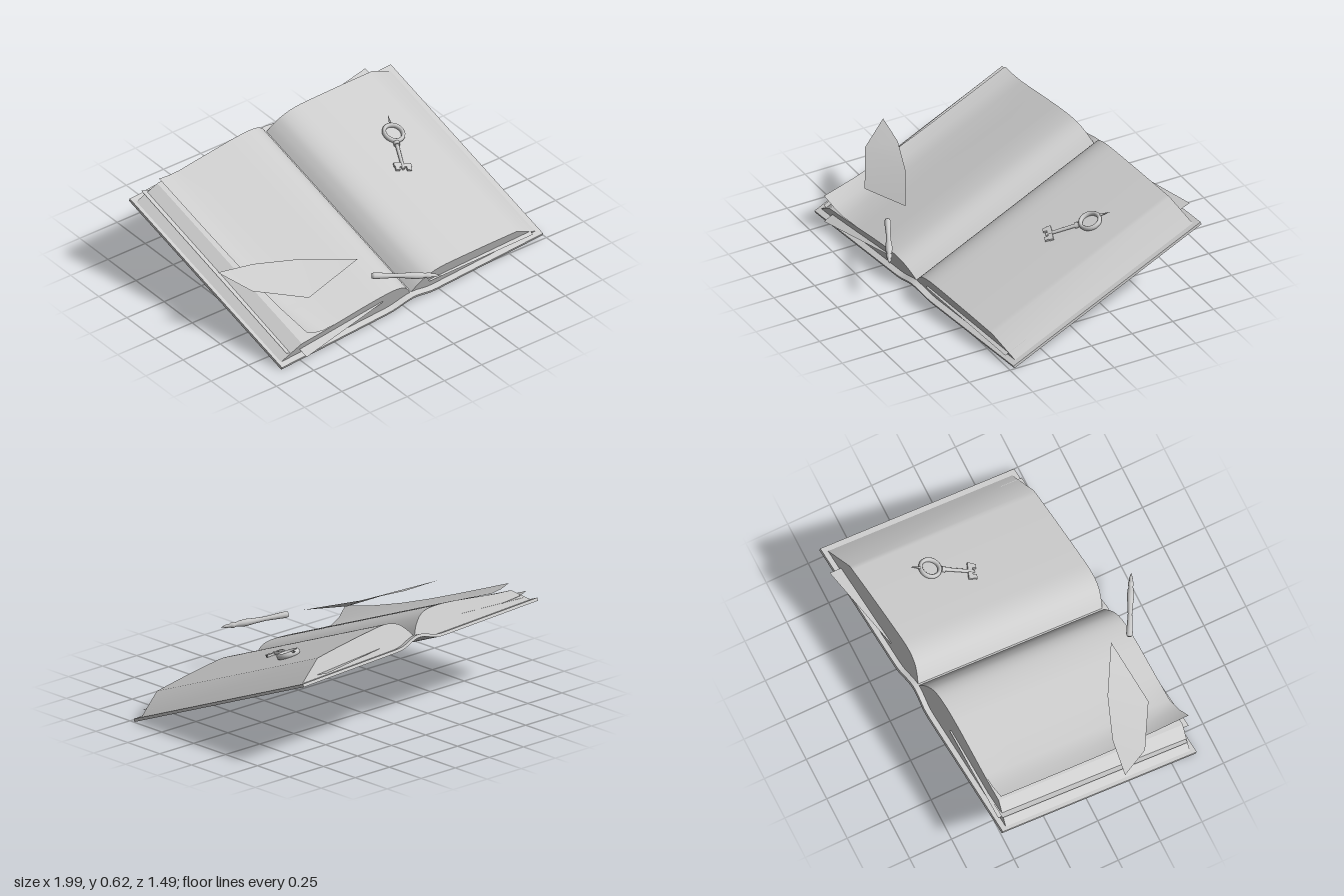
import * as THREE from 'three';
import { toCreasedNormals } from 'three/addons/utils/BufferGeometryUtils.js';

const grey = new THREE.MeshStandardMaterial({ color: 0xcccccc });
grey.name = 'pale grey';
const thinGrey = grey.clone();
thinGrey.name = 'pale grey sheet';
thinGrey.side = THREE.DoubleSide;

function add(parent, name, geometry, material = grey) {
  const mesh = new THREE.Mesh(geometry, material);
  mesh.name = name;
  parent.add(mesh);
  return mesh;
}

// Cross-section in x and y, pulled along z and centred on it
function slab(points, half) {
  const shape = new THREE.Shape(points.map(([x, y]) => new THREE.Vector2(x, y)));
  const g = new THREE.ExtrudeGeometry(shape, { depth: half * 2, bevelEnabled: false });
  g.translate(0, 0, -half);
  return toCreasedNormals(g, 0.5);
}

function smooth(points, n) {
  const curve = new THREE.SplineCurve(points.map(([x, y]) => new THREE.Vector2(x, y)));
  return curve.getPoints(n).map((p) => [p.x, p.y]);
}

// Thin surface through rows of equally many points
function sheet(rows) {
  const n = rows[0].length;
  const index = [];
  for (let i = 0; i < rows.length - 1; i++) {
    for (let j = 0; j < n - 1; j++) {
      const a = i * n + j;
      index.push(a, a + n, a + 1, a + 1, a + n, a + n + 1);
    }
  }
  const g = new THREE.BufferGeometry();
  g.setAttribute('position', new THREE.Float32BufferAttribute(rows.flat(2), 3));
  g.setIndex(index);
  g.computeVertexNormals();
  return g;
}

function makeBook() {
  const book = new THREE.Group();
  book.name = 'book';

  // Cover with a raised spine
  const arch = smooth([[-0.2, 0], [-0.13, 0.005], [0, 0.036], [0.13, 0.005], [0.2, 0]], 24);
  const under = [[-0.944, 0], ...arch, [0.944, 0]];
  const over = under.map(([x, y]) => [x, y + 0.017]).reverse();
  add(book, 'cover', slab([...under, ...over], 0.653));

  // Page blocks, curving into the gutter
  const rightTop = smooth([[0, 0.046], [0.045, 0.1], [0.1, 0.142], [0.18, 0.162], [0.3, 0.158], [0.55, 0.138], [0.75, 0.118]], 30);
  add(book, 'rightPages', slab([[0, 0.04], [0.13, 0.016], [0.915, 0.016], ...rightTop.reverse()], 0.62));
  const leftTop = smooth([[0, 0.046], [-0.04, 0.105], [-0.1, 0.15], [-0.19, 0.165], [-0.35, 0.155], [-0.65, 0.115], [-0.8, 0.1]], 30);
  add(book, 'leftPages', slab([...leftTop, [-0.925, 0.016], [-0.13, 0.016], [0, 0.04]], 0.62));

  // Curled top page, lifting most at the front corner
  const rows = [];
  for (let i = 0; i <= 6; i++) {
    const t = i / 6;
    const z = -0.62 + 1.24 * t;
    const lift = 0.06 * t ** 4;
    rows.push([[-0.3, 0.161, z], [-0.5, 0.138, z], [-0.65, 0.119 + lift * 0.1, z],
      [-0.73, 0.124 + lift * 0.45, z], [-0.8, 0.14 + lift, z]]);
  }
  add(book, 'curledPage', sheet(rows), thinGrey);

  // Loose leaves poking out of the edges
  const leaves = [
    ['leftLooseLeaf', [[[-0.7, 0.05, -0.63], [-0.84, 0.055, -0.63], [-0.89, 0.07, -0.64]],
      [[-0.7, 0.05, 0.62], [-0.84, 0.05, 0.62], [-0.89, 0.06, 0.61]]]],
    ['leftFrontLeaf', [[[-0.8, 0.055, 0.5], [-0.22, 0.11, 0.5]], [[-0.8, 0.05, 0.68], [-0.22, 0.11, 0.625]]]],
    ['rightFrontLeaf', [[[0.12, 0.085, 0.5], [0.87, 0.045, 0.5]], [[0.12, 0.085, 0.63], [0.87, 0.045, 0.645]]]],
    ['leftBackLeaf', [[[-0.87, 0.04, -0.5], [-0.32, 0.08, -0.5]], [[-0.87, 0.04, -0.645], [-0.32, 0.08, -0.63]]]],
    ['rightBackLeaf', [[[0.28, 0.05, -0.5], [0.79, 0.04, -0.5]], [[0.28, 0.05, -0.625], [0.79, 0.03, -0.695]]]],
  ];
  for (const [name, r] of leaves) add(book, name, sheet(r), thinGrey);

  book.add(makeKey());

  // Tilt the book back and turn it slightly
  const x = new THREE.Vector3(0.996, 0, -0.09).normalize();
  const z = new THREE.Vector3(0.084, -0.367, 0.926).normalize();
  const y = new THREE.Vector3().crossVectors(z, x).normalize();
  x.crossVectors(y, z);
  book.quaternion.setFromRotationMatrix(new THREE.Matrix4().makeBasis(x, y, z));
  book.position.set(0, 0.245, -0.05);
  return book;
}

// Key along +z, with its bow at the origin
function makeKey() {
  const key = new THREE.Group();
  key.name = 'key';
  const bow = add(key, 'keyBow', new THREE.TorusGeometry(0.054, 0.011, 10, 32));
  bow.rotation.x = Math.PI / 2;
  bow.scale.z = 1.4;
  const shaft = add(key, 'keyShaft', new THREE.CylinderGeometry(0.009, 0.011, 0.19, 12));
  shaft.rotation.x = Math.PI / 2;
  shaft.position.z = 0.155;
  const collar = add(key, 'keyCollar', new THREE.CylinderGeometry(0.017, 0.017, 0.02, 12));
  collar.rotation.x = Math.PI / 2;
  collar.position.z = 0.075;
  add(key, 'keyBit', new THREE.BoxGeometry(0.1, 0.012, 0.025)).position.z = 0.225;
  for (const side of [-1, 1]) {
    add(key, 'keyTooth', new THREE.BoxGeometry(0.025, 0.012, 0.03)).position.set(side * 0.033, 0, 0.245);
  }
  // Short tail beyond the bow
  const tail = add(key, 'keyTail', new THREE.ConeGeometry(0.007, 0.06, 8));
  tail.rotation.x = -Math.PI / 2;
  tail.position.set(-0.01, 0.01, -0.09);
  key.position.set(0.555, 0.151, -0.22);
  key.rotation.set(0, -0.49, -0.06, 'ZYX');
  return key;
}

// Turned pen handle with a pointed nib
function makePen() {
  const start = new THREE.Vector3(-0.225, 0.302, 0.567);
  const end = new THREE.Vector3(0.108, 0.262, 0.74);
  const dir = end.clone().sub(start);
  const length = dir.length();
  const profile = [[0, 0], [0.014, 0.005], [0.018, 0.04], [0.016, 0.15], [0.012, 0.35], [0.015, 0.5], [0.02, 0.64],
    [0.016, 0.74], [0.011, 0.78], [0.016, 0.81], [0.015, 0.85], [0.009, 0.87], [0.01, 0.92], [0, 1]];
  const g = new THREE.LatheGeometry(profile.map(([r, t]) => new THREE.Vector2(r, t * length)), 16);
  const pen = new THREE.Mesh(g, grey);
  pen.name = 'pen';
  pen.position.copy(start);
  pen.quaternion.setFromUnitVectors(new THREE.Vector3(0, 1, 0), dir.normalize());
  return pen;
}

export function createModel() {
  const model = new THREE.Group();
  model.name = 'openBook';
  model.add(makeBook(), makePen());
  // Floating feather blade
  const tip = [-0.965, 0.417, 0.18];
  const base = [-0.23, 0.353, 0.455];
  add(model, 'feather', sheet([
    [tip, tip],
    [[-0.75, 0.4, 0.21], [-0.86, 0.345, 0.35]],
    [[-0.505, 0.38, 0.3], [-0.595, 0.275, 0.5]],
    [base, base],
  ]), thinGrey);
  return model;
}
